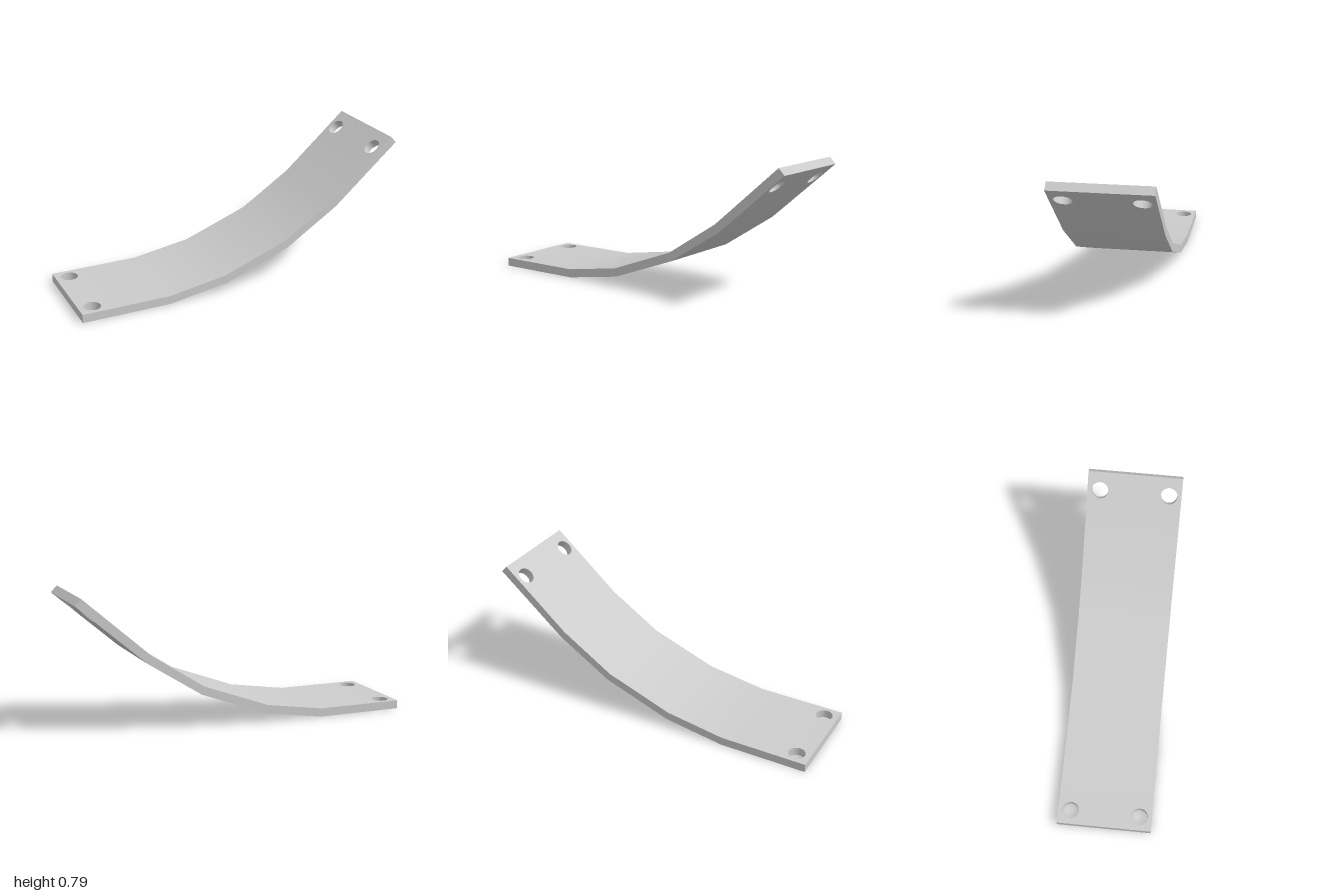
import * as THREE from 'three';
import { mergeGeometries, toCreasedNormals } from 'three/addons/utils/BufferGeometryUtils.js';

const HALF_WIDTH = 0.282;
const HOLE_RADIUS = 0.05;
const HOLE_Z = 0.207;

// Side profile of the bent plate: lower and upper corners at each fold
const V = (x, y) => new THREE.Vector2(x, y);
const lower = [V(-1, 0), V(-0.475, 0), V(-0.12, 0.057), V(0.28, 0.205), V(0.6, 0.41), V(1, 0.755)];
const upper = [V(-1, 0.05), V(-0.48, 0.05), V(-0.128, 0.106), V(0.265, 0.252), V(0.574, 0.452), V(0.964, 0.793)];
const count = lower.length - 1;

// Upward normals of the facets, averaged at the folds for soft shading
const facetNormals = Array.from({ length: count }, (_, i) => {
  const d = lower[i + 1].clone().sub(lower[i]).normalize();
  return V(-d.y, d.x);
});
const foldNormals = lower.map((_, i) =>
  facetNormals[Math.max(i - 1, 0)].clone().add(facetNormals[Math.min(i, count - 1)]).normalize());

// One facet: a flat panel with optional holes, fitted between two folds
function facet(i, holeDistance) {
  const length = lower[i].distanceTo(lower[i + 1]);
  const shape = new THREE.Shape([
    V(0, -HALF_WIDTH), V(length, -HALF_WIDTH), V(length, HALF_WIDTH), V(0, HALF_WIDTH),
  ]);
  if (holeDistance !== undefined) {
    for (const side of [-1, 1]) {
      const hole = new THREE.Path();
      hole.absarc(holeDistance, side * HOLE_Z, HOLE_RADIUS, 0, Math.PI * 2, true);
      shape.holes.push(hole);
    }
  }
  const flat = new THREE.ExtrudeGeometry(shape, { depth: 1, bevelEnabled: false, curveSegments: 32 });
  const source = flat.attributes.position;
  const positions = [];
  const faceNormals = []; // soft normal for the broad faces, null elsewhere

  for (let k = 0; k < source.count; k += 3) {
    const tri = [0, 1, 2].map((j) => new THREE.Vector3().fromBufferAttribute(source, k + j));
    const all = (axis, value) => tri.every((p) => Math.abs(p[axis] - value) < 1e-6);
    // Leave out the hidden walls where facets meet
    if ((i > 0 && all('x', 0)) || (i < count - 1 && all('x', length))) continue;
    const facing = all('z', 1) ? 1 : all('z', 0) ? -1 : 0;
    for (const p of tri) {
      const t = p.x / length;
      const q = lower[i].clone().lerp(lower[i + 1], t)
        .lerp(upper[i].clone().lerp(upper[i + 1], t), p.z);
      positions.push(q.x, q.y, -p.y);
      faceNormals.push(facing
        ? foldNormals[i].clone().lerp(foldNormals[i + 1], t).normalize().multiplyScalar(facing)
        : null);
    }
  }

  const bent = new THREE.BufferGeometry();
  bent.setAttribute('position', new THREE.Float32BufferAttribute(positions, 3));
  const result = toCreasedNormals(bent, 0.5);
  faceNormals.forEach((n, k) => n && result.attributes.normal.setXYZ(k, n.x, n.y, 0));
  return result;
}

export function createModel() {
  const group = new THREE.Group();
  group.name = 'bentBracket';

  // Mounting holes sit in the first and last facets
  const lastLength = lower[count - 1].distanceTo(lower[count]);
  const holeAt = { 0: 0.083, [count - 1]: lastLength - 0.113 };
  const facets = facetNormals.map((_, i) => facet(i, holeAt[i]));

  const plate = new THREE.Mesh(
    mergeGeometries(facets),
    new THREE.MeshStandardMaterial({ color: 0xcccccc }),
  );
  plate.name = 'bentPlate';
  group.add(plate);
  return group;
}
